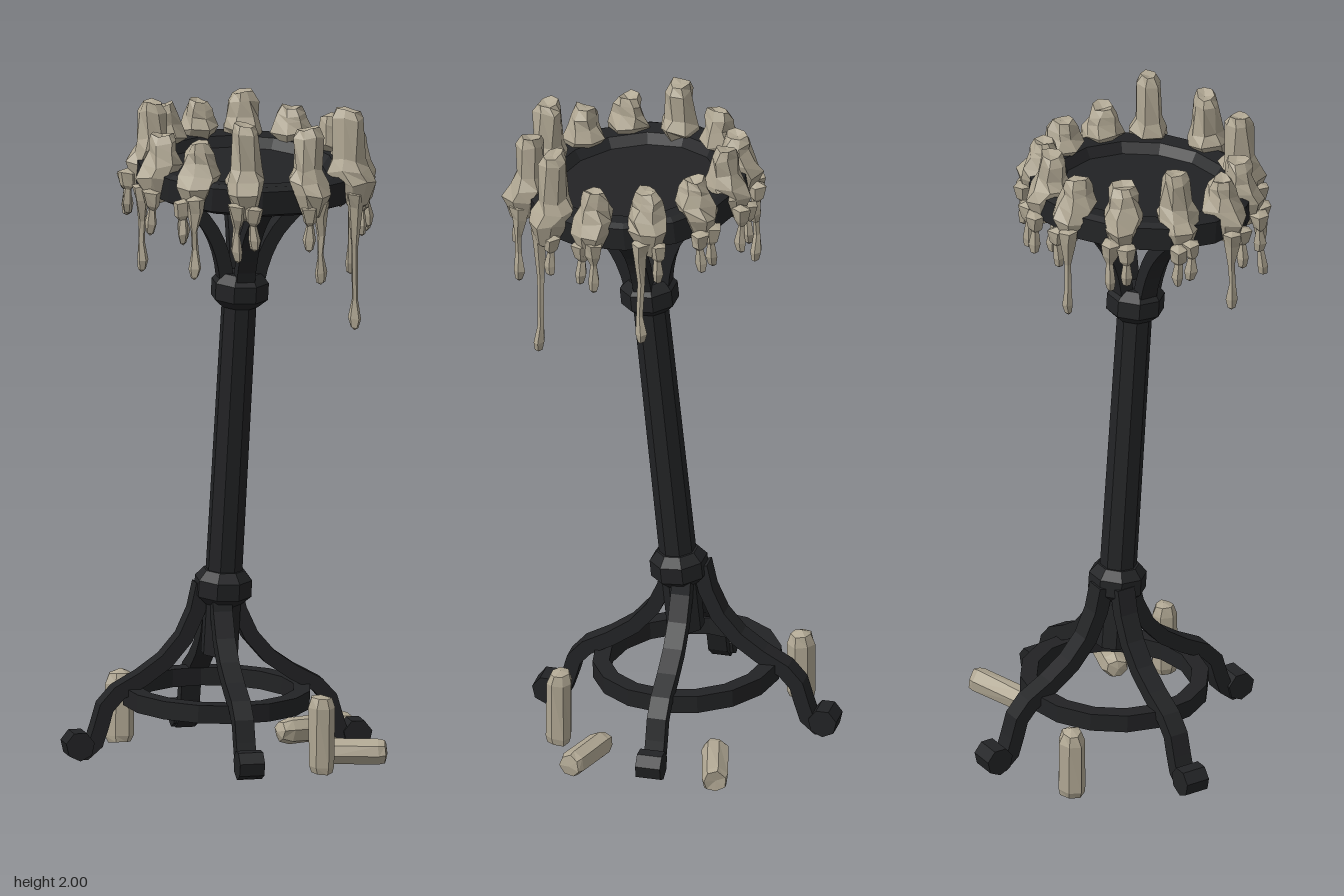
import * as THREE from 'three';

const iron = new THREE.MeshStandardMaterial({ color: 0x222325, flatShading: true });
iron.name = 'blackIron';
const wax = new THREE.MeshStandardMaterial({ color: 0xb0a793, flatShading: true });
wax.name = 'paleWax';

const V2 = (p) => new THREE.Vector2(p[0], p[1]);
const LEAN = 0.097;

function add(parent, name, geometry, material, x = 0, y = 0, z = 0) {
  const mesh = new THREE.Mesh(geometry, material);
  mesh.name = name;
  mesh.position.set(x, y, z);
  parent.add(mesh);
  return mesh;
}

const lathe = (pts, sides) => new THREE.LatheGeometry(pts.map(V2), sides);

// Flat bar of constant thickness following a smooth path in the x-y plane
function bar(path, thick, width) {
  const curve = new THREE.SplineCurve(path.map(V2));
  const a = [], b = [];
  const n = 10;
  for (let i = 0; i <= n; i++) {
    const p = curve.getPoint(i / n), t = curve.getTangent(i / n);
    const off = new THREE.Vector2(-t.y, t.x).multiplyScalar(thick / 2);
    a.push(p.clone().add(off));
    b.unshift(p.clone().sub(off));
  }
  const g = new THREE.ExtrudeGeometry(new THREE.Shape([...a, ...b]), { depth: width, bevelEnabled: false });
  return g.translate(0, 0, -width / 2);
}

// Uneven lumps driven by position, so seams stay closed
function lumpy(g, amount, seed) {
  const p = g.attributes.position;
  for (let i = 0; i < p.count; i++) {
    const x = p.getX(i), y = p.getY(i), z = p.getZ(i);
    p.setXYZ(i,
      x + amount * Math.sin(70 * z + 45 * y + seed * 2.1),
      y + amount * Math.sin(60 * x + 50 * z + seed * 3.7),
      z + amount * Math.sin(65 * x - 40 * y + seed * 1.3));
  }
  g.computeVertexNormals();
  return g;
}

// Candle on the rim: narrow column over a wax skirt that spills outward
function rimCandle(h, dx, dz, seed) {
  const g = lathe([[0, -0.1], [0.03, -0.09], [0.056, -0.02], [0.062, 0.015], [0.046, 0.05],
    [0.042, h - 0.025], [0.03, h], [0, h - 0.008]], 7);
  const p = g.attributes.position;
  for (let i = 0; i < p.count; i++) {
    const s = p.getY(i) < 0 ? 0.026 : 0;
    p.setXYZ(i, p.getX(i) + dx * s, p.getY(i), p.getZ(i) + dz * s);
  }
  return lumpy(g.rotateY(0), 0.006, seed);
}

// Hanging drip with a bulb near its tip
const drip = (len, seed) => lumpy(lathe([[0, 0], [0.012, 0.008], [0.018, 0.035], [0.01, 0.09],
  [0.011, len * 0.6], [0.022, len - 0.04], [0.03, len], [0, len + 0.01]], 5), 0.003, seed);

// Loose candle with a chipped top
const looseCandle = (len, r, seed) => lumpy(lathe([[0, 0], [r * 0.85, 0], [r, 0.02], [r, len - 0.04],
  [r * 0.75, len - 0.01], [0, len]], 7), 0.003, seed);

export function createModel() {
  const model = new THREE.Group();
  model.name = 'candleStand';

  // Base: ring, four curved legs with curled feet
  const base = new THREE.Group();
  base.name = 'base';
  base.position.set(-0.022, 0, -0.06);
  model.add(base);
  const ring = add(base, 'baseRing', lathe([[0.28, -0.027], [0.28, 0.027], [0.23, 0.027],
    [0.23, -0.027], [0.28, -0.027]], 16), iron, 0, 0.195, 0);
  ring.rotation.x = 0.04;
  const legPath = [[0.045, 0.53], [0.07, 0.43], [0.125, 0.335], [0.21, 0.265], [0.3, 0.215],
    [0.345, 0.16], [0.36, 0.09], [0.39, 0.045], [0.43, 0.045]];

  // Leaning column, collars and dish
  const upper = new THREE.Group();
  upper.name = 'leaningColumn';
  upper.position.set(-0.015, 0, -0.086);
  upper.rotation.x = LEAN;
  model.add(upper);
  add(upper, 'pole', new THREE.CylinderGeometry(0.052, 0.056, 1.16, 8), iron, 0, 0.9, 0);
  const collar = [[0, -0.055], [0.058, -0.055], [0.086, -0.03], [0.086, 0.02], [0.062, 0.048], [0, 0.048]];
  add(upper, 'lowerCollar', lathe(collar, 8), iron, 0, 0.53, 0);
  add(upper, 'upperCollar', lathe(collar, 8), iron, 0, 1.44, 0);
  add(upper, 'dish', lathe([[0, -0.045], [0.3, -0.045], [0.335, -0.03], [0.335, 0.04], [0.315, 0.05],
    [0.26, 0.045], [0.24, 0.015], [0, 0.015]], 14), iron, 0, 1.785, 0);
  const armPath = [[0.04, 1.42], [0.06, 1.53], [0.1, 1.62], [0.17, 1.7], [0.25, 1.76]];

  for (let i = 0; i < 4; i++) {
    const turn = -0.36 - i * Math.PI / 2;
    const leg = new THREE.Group();
    leg.name = 'leg';
    leg.rotation.y = turn;
    base.add(leg);
    add(leg, 'legBar', bar(legPath, 0.045, 0.058), iron);
    add(leg, 'curledFoot', new THREE.CylinderGeometry(0.044, 0.044, 0.075, 7).rotateX(Math.PI / 2),
      iron, 0.42, 0.062, 0);
    add(upper, 'dishArm', bar(armPath, 0.042, 0.055), iron).rotation.y = turn;
  }

  // Rim candles: x, z, top height, drip tip height
  const candles = [
    [-0.01, 0.405, 1.965, 1.5], [-0.185, 0.335, 1.985, 1.58], [-0.27, 0.22, 1.92, 1.52],
    [-0.31, 0.085, 1.93, 1.52], [-0.25, -0.06, 1.995, 1.66], [-0.135, -0.165, 1.96, 1.64],
    [0.01, -0.2, 1.95, 1.52], [0.135, -0.155, 1.97, 1.65], [0.24, -0.055, 1.93, 1.66],
    [0.285, 0.09, 1.92, 1.44], [0.25, 0.245, 1.91, 1.6], [0.165, 0.355, 1.995, 1.34],
  ];
  candles.forEach(([x, z, top, tip], i) => {
    const ox = x + 0.015, oz = z - 0.09, r = Math.hypot(ox, oz);
    const dx = ox / r, dz = oz / r;
    const y = 1.825 - oz * LEAN;
    add(model, 'rimCandle', rimCandle(top - y, dx, dz, i), wax, x, y, z);
    const side = i % 2 ? 0.025 : -0.02;
    const R = 0.352;
    add(model, 'waxDrip', drip(y - 0.05 - tip, i), wax,
      -0.015 + dx * R - dz * side, tip, 0.09 + dz * R + dx * side);
    // Shorter second run beside the long one
    add(model, 'shortDrip', drip(0.13, i + 20), wax,
      -0.015 + dx * R + dz * side, y - 0.19, 0.09 + dz * R - dx * side);
  });

  // Loose candles around the foot
  add(model, 'standingCandle', looseCandle(0.235, 0.039, 1), wax, 0.088, 0.01, 0.33);
  add(model, 'standingCandle', looseCandle(0.215, 0.042, 2), wax, -0.13, 0.01, -0.41);
  const lying = [[[0.32, 0.325], [0.16, 0.2]], [[0.465, -0.09], [0.23, -0.115]]];
  lying.forEach(([a, b], i) => {
    const d = new THREE.Vector3(b[0] - a[0], 0, b[1] - a[1]);
    const m = add(model, 'lyingCandle', looseCandle(d.length(), 0.04, 3 + i), wax, a[0], 0.045, a[1]);
    m.quaternion.setFromUnitVectors(new THREE.Vector3(0, 1, 0), d.normalize());
  });

  return model;
}
